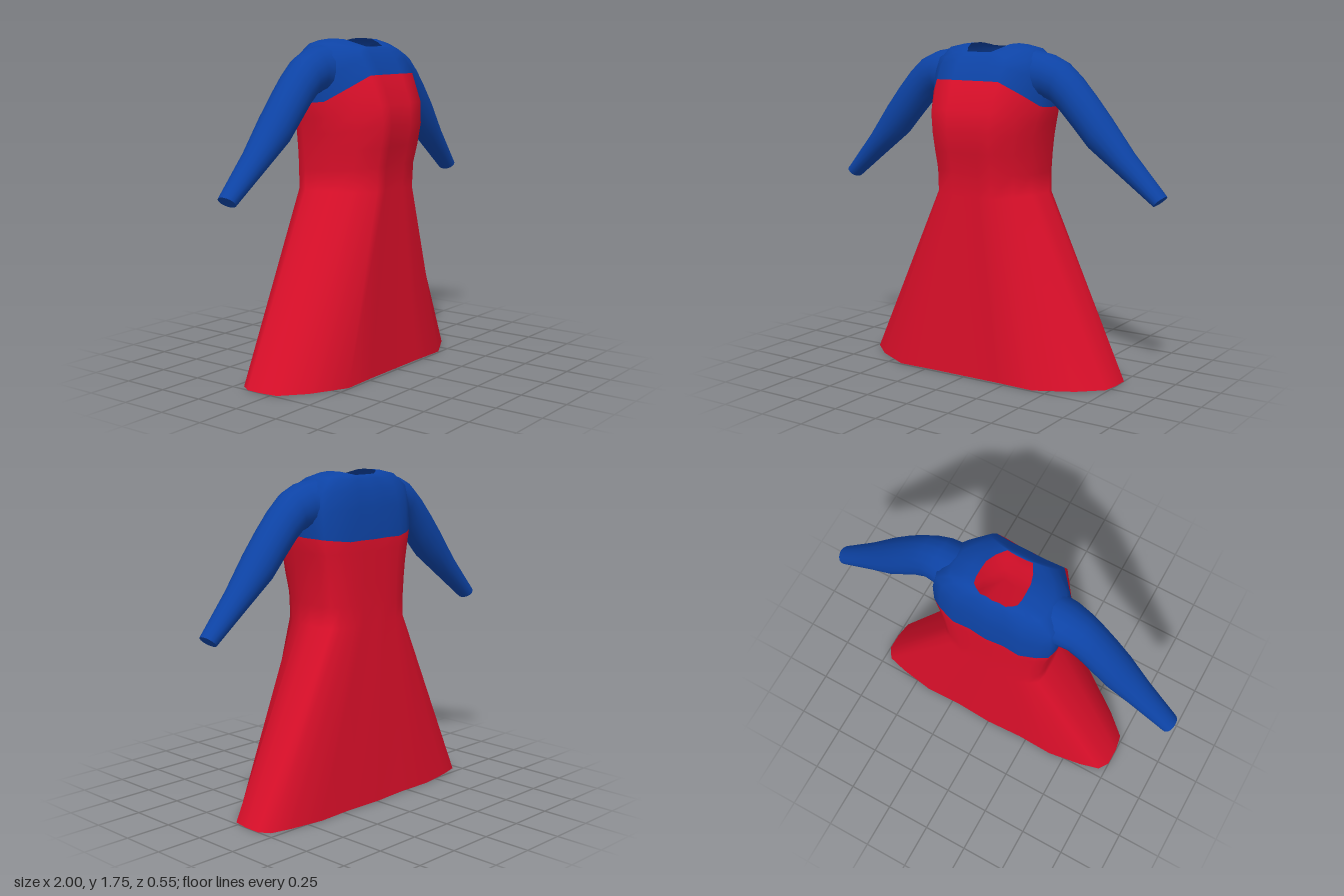
import * as THREE from 'three';

const red = new THREE.MeshStandardMaterial({ color: 0xdc0f2a, side: THREE.DoubleSide });
const blue = new THREE.MeshStandardMaterial({ color: 0x0d43a5, side: THREE.DoubleSide });
const Z0 = -0.06; // depth of the side seam

// Half outline shared by all body sections, front centre to back centre:
// [width share, depth share, height blend: 1 = front, 0 = side, -1 = back]
const outline = [
  [0, 0.98, 1], [0.28, 0.98, 1], [0.56, 1, 1], [0.82, 0.66, 0.5], [0.98, 0.3, 0.06], [1, 0, 0],
  [1, -0.43, 0], [0.95, -0.7, -0.2], [0.8, -0.84, -0.5], [0.55, -0.98, -1], [0.28, -0.95, -1], [0, -1, -1],
];

// Body sections: [half width, front z, back z, front y, side y, back y]
const sections = [
  [0.75, 0.24, -0.27, 0, 0, 0],
  [0.287, 0.228, -0.252, 0.97, 0.97, 0.97],
  [0.288, 0.235, -0.25, 1.1, 1.08, 1.08],
  [0.295, 0.258, -0.25, 1.2, 1.18, 1.18],
  [0.305, 0.275, -0.25, 1.31, 1.27, 1.27],
  [0.32, 0.268, -0.25, 1.42, 1.35, 1.35],
  [0.335, 0.207, -0.25, 1.57, 1.43, 1.41], // seam between dress and yoke
  [0.34, 0.165, -0.238, 1.645, 1.56, 1.57],
  [0.325, 0.135, -0.218, 1.685, 1.665, 1.66],
  [0.25, 0.115, -0.19, 1.705, 1.73, 1.715],
  [0.17, 0.105, -0.175, 1.712, 1.748, 1.732],
  [0.122, 0.1, -0.168, 1.71, 1.752, 1.735],
];
const SEAM = 6;

function sectionLoop([w, front, back, yf, ys, yb]) {
  const half = outline.map(([u, v, k]) => new THREE.Vector3(
    u * w,
    ys + (k > 0 ? k * (yf - ys) : -k * (yb - ys)),
    Z0 + (v > 0 ? v * (front - Z0) : v * (Z0 - back)),
  ));
  const mirrored = half.slice(1, -1).reverse().map((p) => new THREE.Vector3(-p.x, p.y, p.z));
  return [...half, ...mirrored];
}

// Triangles joining closed loops a..b of n points each
function skinIndex(n, a, b) {
  const index = [];
  for (let r = a; r < b; r++) {
    for (let i = 0; i < n; i++) {
      const j = (i + 1) % n;
      const p = r * n + i, q = r * n + j;
      index.push(p, q, q + n, p, q + n, p + n);
    }
  }
  return index;
}

function skin(loops) {
  const geo = new THREE.BufferGeometry().setFromPoints(loops.flat());
  geo.setIndex(skinIndex(loops[0].length, 0, loops.length - 1));
  geo.computeVertexNormals();
  return geo;
}

function add(group, name, geo, material) {
  const mesh = new THREE.Mesh(geo, material);
  mesh.name = name;
  group.add(mesh);
  return mesh;
}

// Sleeve stations: [top x, top y, underside x, underside y, front z, back z]
const stations = [
  [0.24, 1.725, 0.29, 1.46, 0.07, -0.18],
  [0.35, 1.705, 0.335, 1.475, 0.065, -0.165],
  [0.44, 1.665, 0.37, 1.46, 0.057, -0.152],
  [0.52, 1.595, 0.425, 1.41, 0.053, -0.148],
  [0.6, 1.505, 0.495, 1.335, 0.05, -0.147],
  [0.69, 1.395, 0.585, 1.235, 0.044, -0.145],
  [0.82, 1.225, 0.73, 1.125, 0.018, -0.13],
  [1.0, 1.02, 0.94, 0.965, -0.013, -0.118],
];

function sleeveLoops(side) {
  const n = 16;
  return stations.map(([ux, uy, lx, ly, zf, zb]) => Array.from({ length: n }, (_, i) => {
    const a = -side * (i / n) * Math.PI * 2;
    const c = Math.cos(a) / 2, s = Math.sin(a) / 2;
    return new THREE.Vector3(
      side * ((ux + lx) / 2 + (ux - lx) * c),
      (uy + ly) / 2 + (uy - ly) * c,
      (zf + zb) / 2 - (zf - zb) * s,
    );
  }));
}

// Flat fan closing a loop
function fan(loop) {
  const centre = loop.reduce((s, p) => s.add(p), new THREE.Vector3()).divideScalar(loop.length);
  const geo = new THREE.BufferGeometry().setFromPoints([centre, ...loop]);
  geo.setIndex(loop.flatMap((_, i) => [0, i + 1, ((i + 1) % loop.length) + 1]));
  geo.computeVertexNormals();
  return geo;
}

export function createModel() {
  const model = new THREE.Group();
  model.name = 'dress';

  // Dress and yoke share one smooth skin, split at the seam
  const loops = sections.map(sectionLoop);
  const n = loops[0].length;
  const body = skin(loops);
  const skirt = body.clone().setIndex(skinIndex(n, 0, SEAM));
  const yoke = body.clone().setIndex(skinIndex(n, SEAM, loops.length - 1));
  add(model, 'skirtAndBodice', skirt, red);
  add(model, 'yoke', yoke, blue);

  // Closed hem
  add(model, 'hemBase', fan([...loops[0]].reverse()), red);

  // Sleeves with closed cuffs
  for (const side of [1, -1]) {
    const sleeve = new THREE.Group();
    sleeve.name = side > 0 ? 'leftSleeve' : 'rightSleeve';
    const rings = sleeveLoops(side);
    add(sleeve, 'sleeve', skin(rings), blue);
    add(sleeve, 'cuffEnd', fan(rings[rings.length - 1]), blue);
    model.add(sleeve);
  }
  return model;
}
